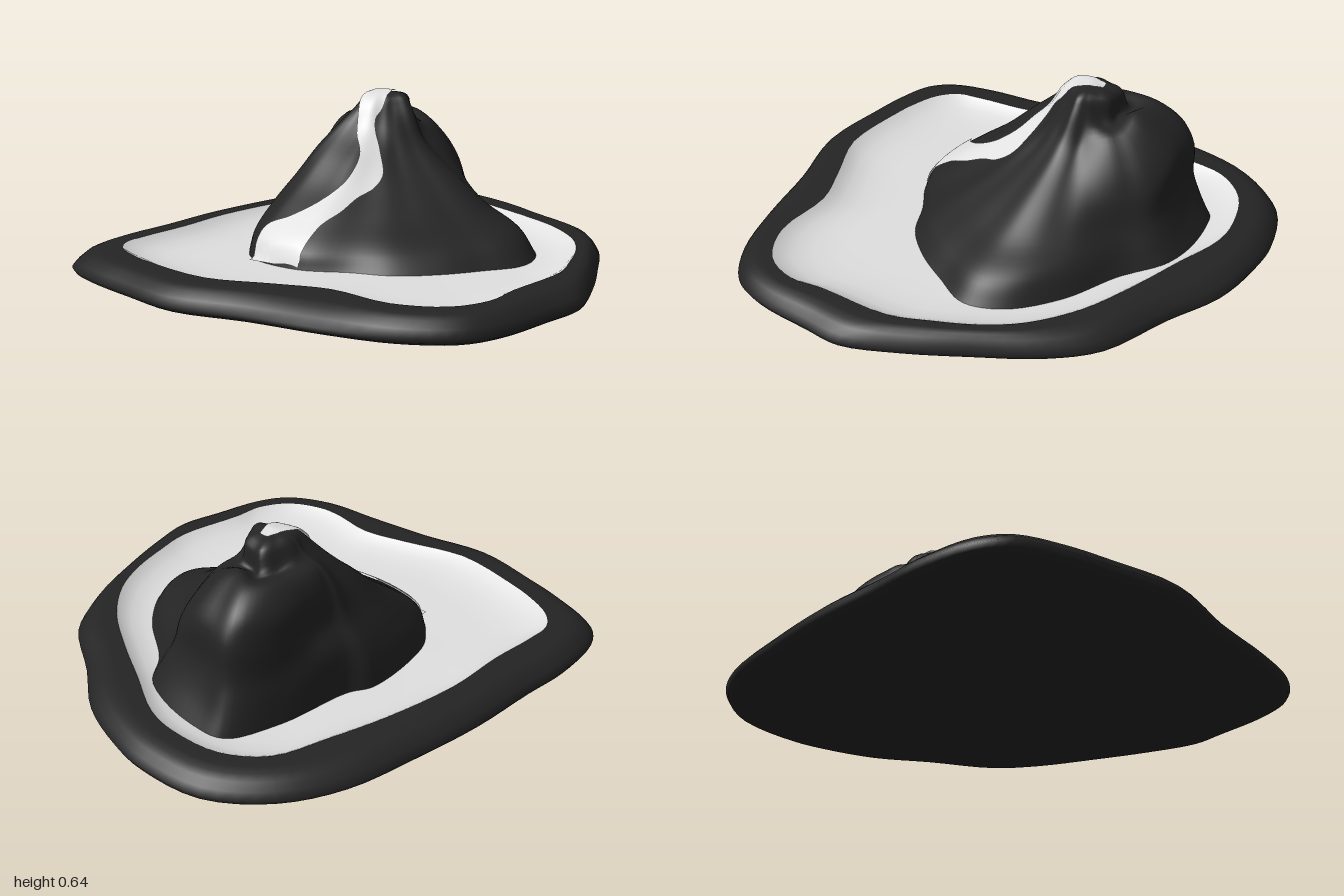
import * as THREE from 'three';

const SEG = 108;
const dark = new THREE.MeshStandardMaterial({ color: 0x242424 });
dark.name = 'darkRock';
const pale = new THREE.MeshStandardMaterial({ color: 0xe0e0e0, side: THREE.DoubleSide });
pale.name = 'paleWater';

// Closed smooth outline from flat x, z pairs, running back > left > front > right
function outline(pairs) {
  const pts = [];
  for (let i = 0; i < pairs.length; i += 2) pts.push(new THREE.Vector3(pairs[i], 0, pairs[i + 1]));
  const curve = new THREE.CatmullRomCurve3(pts, true, 'centripetal');
  return Array.from({ length: SEG }, (_, j) => curve.getPoint(j / SEG));
}

// Skin a list of equal-length rows of points
function loft(rows, closed, material, name) {
  const n = rows[0].length, idx = [];
  for (let i = 0; i < rows.length - 1; i++) {
    for (let j = 0; j < (closed ? n : n - 1); j++) {
      const k = (j + 1) % n;
      const a = i * n + j, b = i * n + k, c = a + n, d = b + n;
      idx.push(a, c, b, b, c, d);
    }
  }
  const geo = new THREE.BufferGeometry().setFromPoints(rows.flat());
  geo.setIndex(idx);
  geo.computeVertexNormals();
  const mesh = new THREE.Mesh(geo, material);
  mesh.name = name;
  return mesh;
}

const outer = outline([
  -0.24, -1, -0.08, -0.98, 0.14, -0.91, 0.35, -0.77, 0.6, -0.62, 0.72, -0.45, 0.82, -0.2,
  0.9, 0.03, 0.95, 0.25, 0.92, 0.4, 0.86, 0.64, 0.78, 0.77, 0.6, 0.87, 0.35, 0.92,
  0.05, 0.95, -0.24, 1, -0.5, 0.95, -0.7, 0.9, -0.86, 0.83, -0.93, 0.72, -0.955, 0.5,
  -0.94, 0.3, -0.925, 0, -0.88, -0.3, -0.82, -0.58, -0.7, -0.8, -0.5, -0.96]);
const inner = outline([
  -0.24, -0.84, -0.1, -0.82, 0.1, -0.72, 0.3, -0.62, 0.5, -0.5, 0.65, -0.35, 0.73, -0.2,
  0.78, -0.03, 0.81, 0.12, 0.77, 0.4, 0.76, 0.55, 0.68, 0.68, 0.5, 0.75, 0.25, 0.72,
  0.05, 0.77, -0.2, 0.84, -0.5, 0.79, -0.6, 0.76, -0.72, 0.7, -0.78, 0.62, -0.785, 0.5,
  -0.77, 0.3, -0.77, 0.05, -0.72, -0.25, -0.65, -0.5, -0.58, -0.7, -0.44, -0.81]);
const foot = outline([
  -0.24, -0.745, 0.07, -0.69, 0.2, -0.54, 0.42, -0.39, 0.56, -0.22, 0.585, -0.07,
  0.48, 0.08, 0.38, 0.2, 0.24, 0.31, 0.08, 0.36, -0.1, 0.43, -0.33, 0.4, -0.42, 0.32,
  -0.48, 0.22, -0.515, -0.1, -0.47, -0.2, -0.43, -0.5, -0.35, -0.72]);

// Slope profiles (fraction of foot radius, height) every 45 degrees, from the back round by +x
const slopes = [
  [1, .04, .85, .15, .77, .25, .76, .4, .6, .49, .38, .545, .22, .51, .2, .6],
  [1, .04, .9, .12, .8, .2, .72, .3, .6, .4, .42, .49, .25, .52, .2, .61],
  [1, .04, .9, .13, .7, .2, .51, .3, .33, .4, .25, .46, .18, .57, .13, .62],
  [1, .04, .9, .11, .7, .19, .5, .29, .33, .39, .23, .48, .15, .57, .11, .615],
  [1, .04, .97, .1, .79, .2, .6, .29, .43, .39, .25, .49, .17, .58, .11, .615],
  [1, .04, .95, .13, .85, .22, .7, .32, .55, .42, .4, .5, .25, .57, .16, .62],
  [1, .04, .98, .18, .94, .24, .8, .32, .75, .45, .62, .53, .4, .55, .25, .62],
  [1, .04, .95, .15, .9, .24, .88, .35, .82, .46, .58, .54, .36, .53, .24, .61]];

function buildMountain() {
  const cx = -0.16, cz = -0.27, levels = 40;
  const columns = foot.map((p) => {
    const dx = p.x - cx, dz = p.z - cz;
    const a = ((Math.atan2(dx, -dz) / (Math.PI / 4)) + 8) % 8;
    const i = Math.floor(a) % 8, t = a - Math.floor(a), w = t * t * (3 - 2 * t);
    const mix = (k) => THREE.MathUtils.lerp(slopes[i][k], slopes[(i + 1) % 8][k], w);
    const pts = [];
    for (let k = 0; k < 16; k += 2) {
      const f = mix(k);
      pts.push(new THREE.Vector3(cx + dx * f, mix(k + 1), cz + dz * f));
    }
    pts.push(new THREE.Vector3(cx, 0.632, cz));
    return new THREE.CatmullRomCurve3(pts, false, 'centripetal');
  });
  const rows = [];
  for (let i = 0; i <= levels; i++) rows.push(columns.map((c) => c.getPoint(i / levels)));
  return loft(rows, true, dark, 'mountain');
}

// Thin ribbon laid on the mountain: rows of left edge, z, right edge
function buildStream(mountain) {
  const path = new THREE.CatmullRomCurve3([
    [-.18, -.32, -.14], [-.2, -.26, -.12], [-.215, -.17, -.11], [-.2, -.13, -.12],
    [-.17, -.07, -.06], [-.11, 0, 0], [-.1, .06, 0], [-.11, .13, -.03], [-.16, .22, -.05],
    [-.24, .29, -.08], [-.33, .33, -.09], [-.33, .43, -.1],
  ].map((r) => new THREE.Vector3(...r)), false, 'centripetal');
  mountain.updateMatrixWorld();
  const ray = new THREE.Raycaster();
  const down = new THREE.Vector3(0, -1, 0);
  const rows = [];
  for (let i = 0; i <= 70; i++) {
    const r = path.getPoint(i / 70), row = [];
    for (let j = 0; j <= 8; j++) {
      const x = THREE.MathUtils.lerp(r.x, r.z, j / 8);
      ray.set(new THREE.Vector3(x, 2, r.y), down);
      const hit = ray.intersectObject(mountain)[0];
      row.push(new THREE.Vector3(x, (hit ? hit.point.y : 0.04) + 0.008, r.y + 0.004));
    }
    rows.push(row);
  }
  // Rows run front to back so the ribbon faces up
  return loft(rows.reverse(), false, pale, 'stream');
}

export function createModel() {
  const model = new THREE.Group();
  model.name = 'mountainIsland';
  const scaled = (ring, f, y) => ring.map((p) => new THREE.Vector3(p.x * f, y, p.z * f));
  const blend = (t, y) => outer.map((p, j) => p.clone().lerp(inner[j], t).setY(y));

  // Underside and rounded rim
  model.add(loft([scaled(outer, 0, 0), scaled(outer, 0.97, 0)], true, dark, 'underside'));
  model.add(loft([
    scaled(outer, 0.97, 0), scaled(outer, 0.99, 0.012), blend(0, 0.03), blend(0.12, 0.055),
    blend(0.28, 0.078), blend(0.45, 0.09), blend(0.65, 0.095), blend(1, 0.095),
  ], true, dark, 'rim'));

  // Shallow water basin
  model.add(loft([
    scaled(inner, 1, 0.095), scaled(inner, 0.97, 0.078), scaled(inner, 0.92, 0.06),
    scaled(inner, 0.84, 0.047), scaled(inner, 0.72, 0.041), scaled(inner, 0.4, 0.04),
    scaled(inner, 0, 0.04),
  ], true, pale, 'water'));

  const mountain = buildMountain();
  model.add(mountain, buildStream(mountain));
  return model;
}
